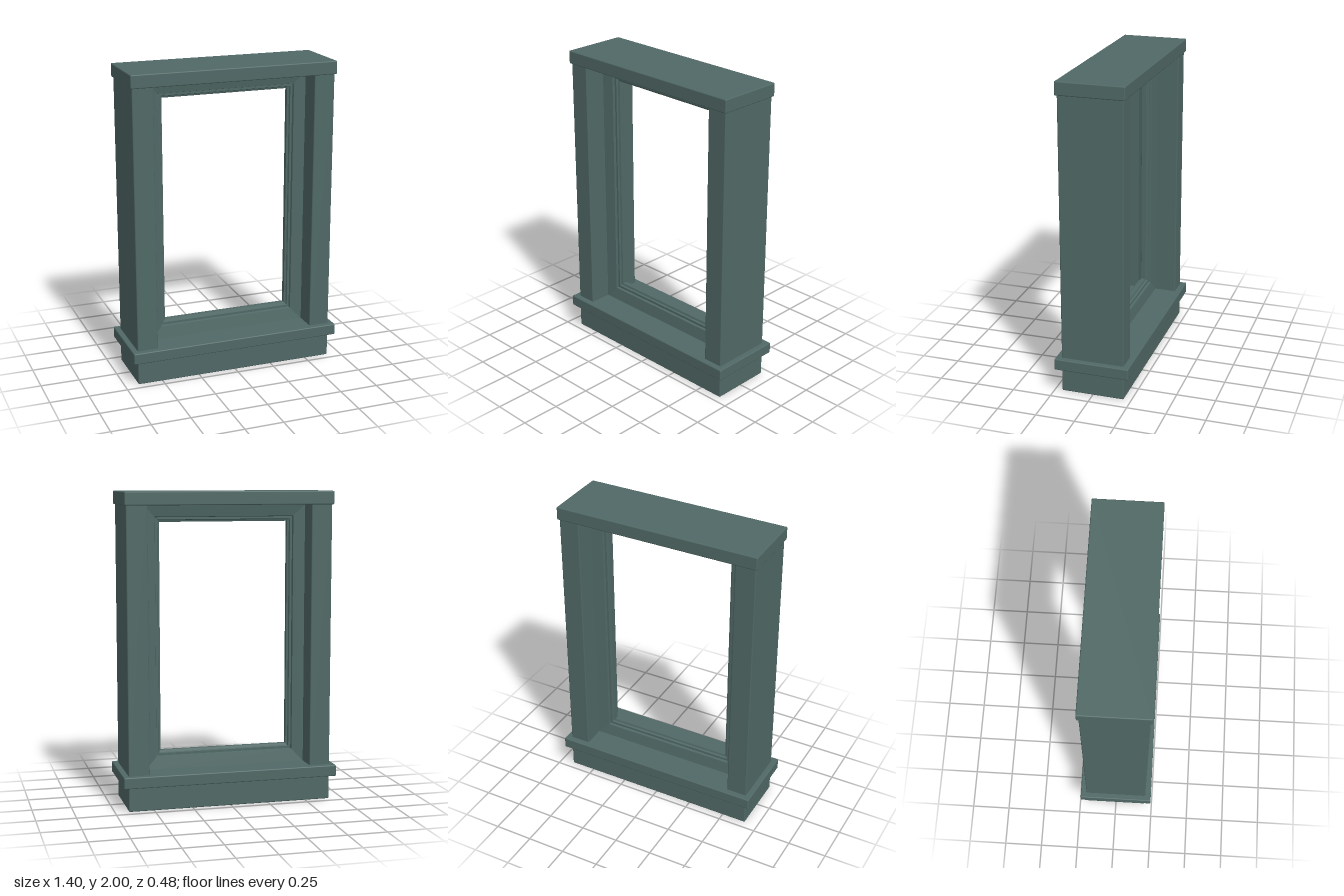
import * as THREE from 'three';
import { RoundedBoxGeometry } from 'three/addons/geometries/RoundedBoxGeometry.js';

export function createModel() {
  const group = new THREE.Group();
  const paint = new THREE.MeshStandardMaterial({ color: 0x506966 });
  paint.name = 'slate green paint';

  // Softly eased block spanning y0..y1
  function block(name, width, y0, y1, depth, x = 0) {
    const mesh = new THREE.Mesh(new RoundedBoxGeometry(width, y1 - y0, depth, 2, 0.007), paint);
    mesh.name = name;
    mesh.position.set(x, (y0 + y1) / 2, 0);
    group.add(mesh);
  }

  // Base, sill and lintel
  block('base', 1.325, 0, 0.17, 0.405);
  block('sill', 1.396, 0.157, 0.23, 0.482);
  block('lintel', 1.345, 1.915, 2, 0.43);

  // Side posts
  for (const side of [-1, 1]) {
    block(side > 0 ? 'leftPost' : 'rightPost', 0.135, 0.215, 1.93, 0.405, side * 0.595);
  }

  // Mitred sash: stepped moulding profile [inset, z], mirrored front to back
  const half = [[-0.005, 0.06], [0.072, 0.045], [0.076, 0.03], [0.09, 0.03], [0.094, 0.018], [0.106, 0.014]];
  const profile = [...half, ...half.map(([d, z]) => [d, -z]).reverse()];
  const corner = (k, [d, z]) => {
    const x = 0.526 - d, bottom = 0.23 + d * 1.08, top = 1.913 - d;
    return [k === 1 || k === 2 ? x : -x, k < 2 ? bottom : top, z];
  };
  const positions = [];
  for (let k = 0; k < 4; k++) {
    const next = (k + 1) % 4;
    for (let i = 0; i < profile.length - 1; i++) {
      const a = corner(k, profile[i]), b = corner(next, profile[i]);
      const c = corner(next, profile[i + 1]), d = corner(k, profile[i + 1]);
      positions.push(...a, ...b, ...c, ...a, ...c, ...d);
    }
  }
  const sashGeometry = new THREE.BufferGeometry();
  sashGeometry.setAttribute('position', new THREE.Float32BufferAttribute(positions, 3));
  sashGeometry.computeVertexNormals();
  const sash = new THREE.Mesh(sashGeometry, paint);
  sash.name = 'sashMoulding';
  group.add(sash);

  return group;
}
